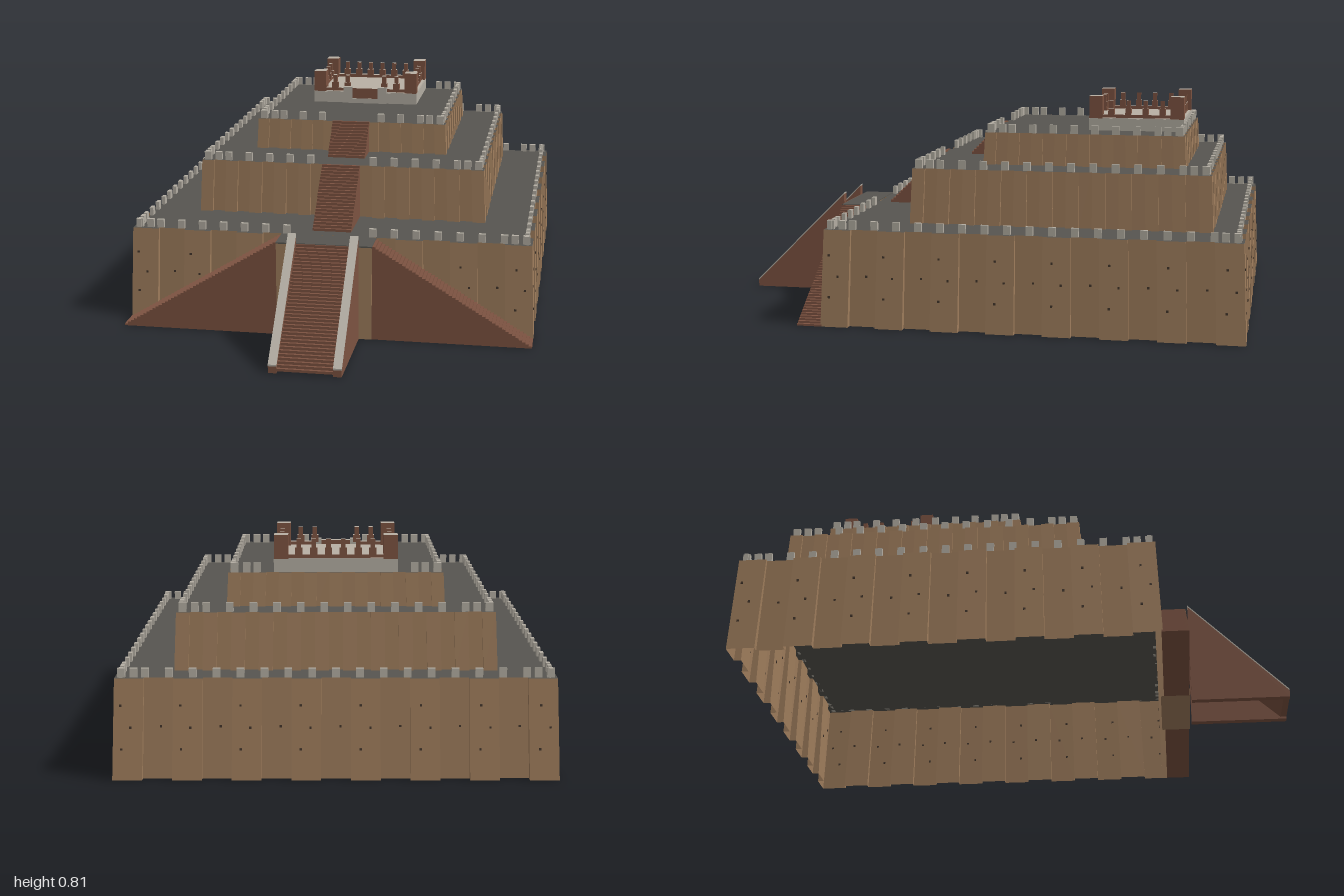
import * as THREE from 'three';

const mat = (name, color, side = THREE.FrontSide) => {
  const m = new THREE.MeshStandardMaterial({ color, side });
  m.name = name;
  return m;
};

export function createModel() {
  const group = new THREE.Group();
  group.name = 'steppedTemple';
  const mud = mat('mudBrick', 0xa07e5d, THREE.DoubleSide);
  const brick = mat('redBrick', 0x7d5341);
  const terrace = mat('terracePaving', 0x575550, THREE.DoubleSide);
  const stone = mat('paleStone', 0xb4aea3);
  const floor = mat('shrineFloor', 0xb9b0a4);
  const hole = mat('weepHole', 0x42352b);

  const add = (name, geo, material, parent = group) => {
    const m = new THREE.Mesh(geo, material);
    m.name = name;
    parent.add(m);
    return m;
  };
  const box = (name, w, h, d, x, y, z, material, parent = group) => {
    const m = add(name, new THREE.BoxGeometry(w, h, d), material, parent);
    m.position.set(x, y + h / 2, z);
    return m;
  };
  // Side i of a rectangle: outward normal and tangent (x, z)
  const sides = [
    { n: [0, 1], t: [1, 0] }, { n: [1, 0], t: [0, -1] },
    { n: [0, -1], t: [-1, 0] }, { n: [-1, 0], t: [0, 1] },
  ];
  const spans = (i, hx, hz) => (i % 2 ? [hz, hx] : [hx, hz]); // half length, distance out
  const place = ({ n, t }, s, out, zc) => [n[0] * out + t[0] * s, zc + n[1] * out + t[1] * s];

  // Buttressed outline: alternate projecting and recessed bays
  const ring = (hx, hz, zc, bays, depth) => {
    const pts = [];
    sides.forEach((side, i) => {
      const [L, D] = spans(i, hx, hz);
      const k = 2 * bays - 1;
      for (let j = 0; j < k; j++) {
        const out = D - (j % 2 ? depth : 0);
        pts.push(place(side, -L + (2 * L * j) / k, out, zc));
        if (j < k - 1) pts.push(place(side, -L + (2 * L * (j + 1)) / k, out, zc));
      }
    });
    return pts;
  };

  const tiers = [
    { name: 'lowerTier', hx: 0.766, z0: -1, z1: 0.53, y0: 0, y1: 0.356, taper: 0.014, d0: 0.026, d1: 0.014, bays: [8], gap: 0.1 },
    { name: 'middleTier', hx: 0.56, z0: -0.87, z1: 0.245, y0: 0.356, y1: 0.56, taper: 0.009, d0: 0.014, d1: 0.008, bays: [12], gap: 0.08 },
    { name: 'upperTier', hx: 0.383, z0: -0.757, z1: 0.003, y0: 0.56, y1: 0.68, taper: 0.006, d0: 0.011, d1: 0.007, bays: [9], gap: 0.08 },
  ];
  for (const t of tiers) {
    const g = new THREE.Group();
    g.name = t.name;
    group.add(g);
    const zc = (t.z0 + t.z1) / 2, hz = (t.z1 - t.z0) / 2;
    const hxTop = t.hx - t.taper, hzTop = hz - t.taper;
    const low = ring(t.hx, hz, zc, t.bays[0], t.d0);
    const top = ring(hxTop, hzTop, zc, t.bays[0], t.d1);

    // Leaning buttressed wall
    const pos = [];
    low.forEach((a, i) => {
      const j = (i + 1) % low.length;
      const A = [a[0], t.y0, a[1]], B = [low[j][0], t.y0, low[j][1]];
      const C = [top[j][0], t.y1, top[j][1]], D = [top[i][0], t.y1, top[i][1]];
      pos.push(...A, ...B, ...C, ...A, ...C, ...D);
    });
    const wall = new THREE.BufferGeometry();
    wall.setAttribute('position', new THREE.Float32BufferAttribute(pos, 3));
    wall.computeVertexNormals();
    add('buttressedWall', wall, mud, g);

    // Terrace paving
    const paving = new THREE.ShapeGeometry(new THREE.Shape(top.map(([x, z]) => new THREE.Vector2(x, -z))));
    add('terracePaving', paving.rotateX(-Math.PI / 2).translate(0, t.y1, 0), terrace, g);

    // Battlements, doubled at the corners
    sides.forEach((side, i) => {
      const [L, D] = spans(i, hxTop, hzTop);
      const end = L - 0.022, count = Math.round((2 * end) / 0.082);
      const at = [-end + 0.042, end - 0.042];
      for (let k = 0; k <= count; k++) at.push(-end + (2 * end * k) / count);
      for (const s of at) {
        if (i === 0 && Math.abs(s) < t.gap) continue;
        const [x, z] = place(side, s, D - t.d1 - 0.007, zc);
        const m = box('merlon', 0.026, 0.032, 0.014, x, t.y1, z, stone, g);
        m.rotation.y = (i * Math.PI) / 2;
      }
    });

    // Weep holes on the lowest wall
    if (t.y0 === 0) sides.forEach((side, i) => {
      const [L, D] = spans(i, t.hx, hz);
      const k = 2 * t.bays[0] - 1;
      for (let j = 0; j < k; j++) [0.11, 0.186, 0.263].forEach((y, row) => {
        if (row !== 1 && j % 2) return;
        const f = y / t.y1;
        const inset = t.taper * f + (j % 2 ? t.d0 + (t.d1 - t.d0) * f : 0);
        const shift = row === 1 ? 0.015 : -0.018;
        const [x, z] = place(side, -L + (2 * L * (j + 0.5)) / k + shift, D - inset, zc);
        const m = box('weepHole', 0.008, 0.008, 0.004, x, y - 0.004, z, hole, g);
        m.rotation.y = (i * Math.PI) / 2;
      });
    });
  }

  // Profile (u, y) pushed through a width
  const extrude = (pts, depth) => new THREE.ExtrudeGeometry(
    new THREE.Shape(pts.map(([u, y]) => new THREE.Vector2(u, y))), { depth, bevelEnabled: false, steps: 1 });
  const stairProfile = (u0, y0, u1, y1, n, solid) => {
    const pts = [[u0, y0]];
    for (let i = 0; i < n; i++) {
      const y = y0 + ((y1 - y0) * (i + 1)) / n;
      pts.push([u0 + ((u1 - u0) * i) / n, y], [u0 + ((u1 - u0) * (i + 1)) / n, y]);
    }
    if (solid) pts.push([u1, y0]);
    else pts.push([u1, y1 - 0.025], [u0 + (u1 - u0) * 0.06, y0]);
    return pts;
  };
  // Profiles facing the front: u becomes z, width is centred on x
  const forward = (pts, width, x = 0) =>
    extrude(pts, width).rotateY(-Math.PI / 2).translate(x + width / 2, 0, 0);

  add('mainStair', forward(stairProfile(1, 0.008, 0.62, 0.356, 36, false), 0.2), brick);
  add('middleStair', forward(stairProfile(0.45, 0.356, 0.236, 0.562, 21, true), 0.147), brick);
  add('upperStair', forward(stairProfile(0.115, 0.56, -0.004, 0.682, 12, true), 0.147), brick);

  // Main stair balustrades and the two flanking stairs
  for (const s of [-1, 1]) {
    add('balustrade', forward([[1, 0], [1, 0.025], [0.63, 0.392], [0.63, 0]], 0.03, s * 0.115), brick);
    add('balustradeCoping', forward([[1, 0.025], [1, 0.031], [0.63, 0.398], [0.63, 0.392]], 0.031, s * 0.115), stone);
    add('sideStair', extrude(stairProfile(s * 0.766, 0, s * 0.178, 0.356, 48, true), 0.095).translate(0, 0, 0.525), brick);
  }
  // Gatehouse landing where the stairs meet
  box('landingBlock', 0.356, 0.355, 0.11, 0, 0, 0.568, mud);
  box('landingPaving', 0.358, 0.005, 0.115, 0, 0.353, 0.567, terrace);

  // Shrine platform
  const shrine = new THREE.Group();
  shrine.name = 'shrine';
  group.add(shrine);
  const cx = 0.218, zF = -0.374, zB = -0.735, zm = (zF + zB) / 2;
  const capped = [brick, brick, floor, brick, brick, brick];
  box('platform', cx * 2, 0.045, zF - zB, 0, 0.68, zm, stone, shrine);
  box('shrineFloor', cx * 2 - 0.004, 0.004, zF - zB - 0.004, 0, 0.724, zm, floor, shrine);
  for (const s of [-1, 1]) {
    box('sideCurb', 0.02, 0.014, zF - zB - 0.06, s * 0.195, 0.726, zm, capped, shrine);
    box('frontCurb', 0.1, 0.014, 0.02, s * 0.135, 0.726, zF - 0.022, capped, shrine);
    for (const z of [zF - 0.026, zB + 0.026])
      box('cornerTower', 0.05, 0.085, 0.05, s * 0.192, 0.726, z, capped, shrine);
    box('doorJamb', 0.038, 0.068, 0.025, s * 0.073, 0.68, zF - 0.006, stone, shrine);
  }
  box('backCurb', 0.34, 0.014, 0.02, 0, 0.726, zB + 0.022, capped, shrine);
  box('doorSill', 0.11, 0.02, 0.025, 0, 0.68, zF - 0.006, stone, shrine);
  box('doorPanel', 0.11, 0.043, 0.02, 0, 0.7, zF - 0.006, capped, shrine);

  // Stepped pinnacles around the parapet
  const pinnacle = (x, z) => {
    box('pinnacleBase', 0.026, 0.026, 0.022, x, 0.738, z, capped, shrine);
    box('pinnacleTip', 0.016, 0.03, 0.016, x, 0.764, z, capped, shrine);
  };
  for (let i = 0; i < 6; i++) {
    const x = -0.13 + i * 0.052;
    pinnacle(x, zB + 0.022);
    if (Math.abs(x) > 0.06) pinnacle(x, zF - 0.022);
  }
  for (let i = 0; i < 4; i++)
    for (const s of [-1, 1]) pinnacle(s * 0.195, zm - 0.098 + i * 0.065);

  return group;
}
